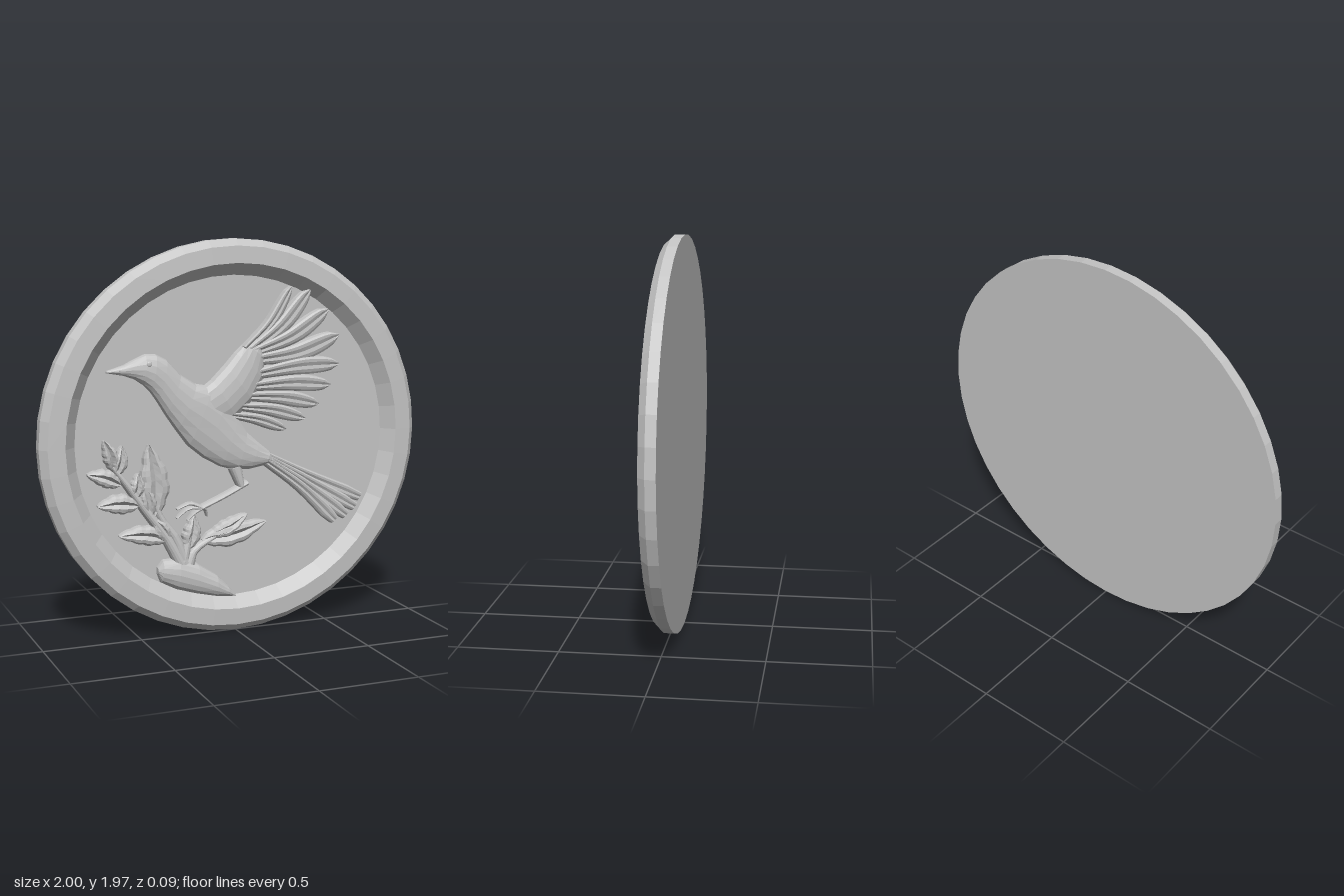
import * as THREE from 'three';

const FLOOR = -0.02;
const metal = new THREE.MeshStandardMaterial({ color: 0xc4c4c4, flatShading: true });
metal.name = 'plain grey';

// Height across a relief strip, from its left edge to its right edge
const DOME = [0, 0.5, 0.78, 0.94, 1, 0.94, 0.78, 0.5, 0];
const LEAF = [0, 0.6, 0.85, 0.95, 0.62, 1, 0.9, 0.65, 0];
const FEATHER = [0, 0.85, 1, 0.97, 0.8, 0.86, 0.74, 0.6, 0];

// Raised strip lofted through stations [leftX, leftY, rightX, rightY, height]
function relief(name, stations, profile = DOME) {
  const first = stations[0], last = stations[stations.length - 1];
  const rows = [[...first.slice(0, 4), 0], ...stations, [...last.slice(0, 4), 0]];
  const pos = [], idx = [], n = profile.length;
  rows.forEach(([ax, ay, bx, by, h], i) => {
    profile.forEach((p, j) => {
      // edge columns are spaced more tightly so the sides stay steep
      const t = 0.5 - 0.5 * Math.cos((Math.PI * j) / (n - 1));
      pos.push(ax + (bx - ax) * t, ay + (by - ay) * t, FLOOR - 0.002 + h * p);
      if (i && j) {
        const d = i * n + j, c = d - 1, b = d - n, a = b - 1;
        idx.push(a, b, c, b, d, c);
      }
    });
  });
  const g = new THREE.BufferGeometry();
  g.setAttribute('position', new THREE.Float32BufferAttribute(pos, 3));
  g.setIndex(idx);
  g.computeVertexNormals();
  const mesh = new THREE.Mesh(g, metal);
  mesh.name = name;
  return mesh;
}

// Strip that follows a smooth path; shape(t) gives [half width, height]
function stroke(name, path, shape, profile = DOME, steps = 8) {
  const curve = new THREE.CatmullRomCurve3(path.map(([x, y]) => new THREE.Vector3(x, y, 0)));
  const stations = [];
  for (let i = 0; i <= steps; i++) {
    const t = i / steps, p = curve.getPoint(t), d = curve.getTangent(t), [w, h] = shape(t);
    stations.push([p.x - d.y * w, p.y + d.x * w, p.x + d.y * w, p.y - d.x * w, h]);
  }
  return relief(name, stations, profile);
}

function group(name, ...parts) {
  const g = new THREE.Group();
  g.name = name;
  g.add(...parts);
  return g;
}

function makeDisc() {
  const profile = [[0, -0.05], [1, -0.05], [1, 0], [0.965, 0.036], [0.88, 0.042], [0.82, FLOOR], [0, FLOOR]];
  const g = new THREE.LatheGeometry(profile.map(([r, y]) => new THREE.Vector2(r, y)), 44);
  g.rotateX(Math.PI / 2);
  g.scale(1, 0.985, 1);
  g.translate(0, 0.985, 0);
  const mesh = new THREE.Mesh(g, metal);
  mesh.name = 'rimmedDisc';
  return mesh;
}

function makeBird() {
  // Beak, head, breast and rump in one sweep
  const body = relief('body', [
    [-0.66, 1.345, -0.66, 1.335, 0.02], [-0.575, 1.37, -0.57, 1.318, 0.035],
    [-0.525, 1.395, -0.52, 1.3, 0.045], [-0.465, 1.42, -0.475, 1.27, 0.056],
    [-0.41, 1.418, -0.44, 1.235, 0.06], [-0.355, 1.39, -0.405, 1.185, 0.06],
    [-0.285, 1.315, -0.365, 1.12, 0.062], [-0.205, 1.265, -0.31, 1.04, 0.065],
    [-0.125, 1.25, -0.25, 0.96, 0.066], [-0.05, 1.2, -0.17, 0.895, 0.066],
    [0.01, 1.1, -0.08, 0.845, 0.066], [0.06, 1.02, 0, 0.82, 0.065],
    [0.12, 0.965, 0.07, 0.82, 0.062], [0.185, 0.91, 0.15, 0.835, 0.055],
    [0.2, 0.88, 0.2, 0.85, 0.045],
  ]);
  const eye = new THREE.Mesh(new THREE.SphereGeometry(0.014, 10, 6), metal);
  eye.scale.z = 0.5;
  eye.position.set(-0.455, 1.375, 0.03);
  eye.name = 'eye';

  // Shoulder of the raised wing
  const shoulder = relief('wingShoulder', [
    [-0.22, 1.21, -0.12, 1.02, 0.055], [-0.125, 1.28, 0, 1.08, 0.066],
    [-0.055, 1.35, 0.09, 1.16, 0.066], [0, 1.41, 0.15, 1.27, 0.06],
    [0.05, 1.455, 0.16, 1.37, 0.055], [0.1, 1.46, 0.14, 1.43, 0.045],
  ]);

  // Fan of flight feathers: base, tip, half width
  const quills = [
    [0.05, 1.43, 0.3, 1.73, 0.032], [0.08, 1.42, 0.4, 1.71, 0.045], [0.1, 1.41, 0.5, 1.61, 0.048],
    [0.11, 1.37, 0.56, 1.48, 0.052], [0.11, 1.3, 0.56, 1.335, 0.048], [0.1, 1.24, 0.515, 1.23, 0.045],
    [0.07, 1.19, 0.45, 1.135, 0.042], [0.03, 1.14, 0.375, 1.065, 0.038], [-0.02, 1.1, 0.27, 1.015, 0.032],
  ];
  const feathers = quills.map(([x, y, tx, ty, w], i) => {
    const bow = i < 4 ? -0.025 : 0.012;
    const mid = [(x + tx) / 2 - (ty - y) * bow * 2, (y + ty) / 2 + bow];
    const shape = (t) => [
      w * (0.55 + 0.45 * Math.min(1, t * 1.6)) * Math.sqrt(Math.max(0.03, 1 - Math.pow(t, 7))),
      0.052 - 0.012 * t,
    ];
    return stroke('flightFeather', [[x, y], mid, [tx, ty]], shape, FEATHER, 12);
  });

  // Long tail feathers spreading from the rump
  const tail = [[0.55, 0.525], [0.615, 0.545], [0.665, 0.585], [0.695, 0.635]].map(([tx, ty], i) =>
    stroke('tailFeather',
      [[0.15, 0.865 + i * 0.01], [0.36 + i * 0.008, 0.71 + i * 0.022], [tx, ty]],
      (t) => [(0.02 + 0.016 * t) * (t > 0.97 ? 0.7 : 1), 0.052 - i * 0.003 - 0.008 * t], FEATHER));

  // Thigh, shank and toes
  const leg = group('leg',
    stroke('thigh', [[0, 0.84], [0.015, 0.79], [0.03, 0.74]], (t) => [0.036 - 0.016 * t, 0.05], DOME, 4),
    stroke('shank', [[0.065, 0.755], [-0.05, 0.7], [-0.18, 0.645]], () => [0.014, 0.045]),
    ...[[[-0.24, 0.67], [-0.31, 0.645]], [[-0.25, 0.645], [-0.31, 0.6]],
      [[-0.22, 0.62], [-0.255, 0.585]], [[-0.16, 0.635], [-0.15, 0.6]]].map((toe) =>
      stroke('toe', [[-0.18, 0.645], ...toe], (t) => [0.013 - 0.008 * t, 0.045 - 0.015 * t], DOME, 5)));

  return group('bird', body, eye, group('wing', ...feathers, shoulder), group('tail', ...tail), leg);
}

function makeBranch() {
  const log = relief('cutBranch', [
    [-0.412, 0.36, -0.412, 0.325, 0.035], [-0.385, 0.395, -0.395, 0.28, 0.055],
    [-0.3, 0.4, -0.31, 0.235, 0.064], [-0.2, 0.36, -0.21, 0.205, 0.064],
    [-0.1, 0.295, -0.11, 0.183, 0.06], [-0.04, 0.235, -0.045, 0.175, 0.05], [0, 0.185, 0, 0.175, 0.035],
  ]);

  const stems = [
    [[-0.29, 0.37], [-0.36, 0.5], [-0.47, 0.65], [-0.57, 0.79], [-0.64, 0.88]],
    [[-0.27, 0.37], [-0.32, 0.5], [-0.39, 0.6], [-0.43, 0.7]],
    [[-0.25, 0.37], [-0.22, 0.43], [-0.1, 0.5]],
    [[-0.28, 0.38], [-0.26, 0.46], [-0.24, 0.54]],
  ].map((path) => stroke('stem', path, (t) => [0.034 - 0.02 * t, 0.052 - 0.012 * t]));

  // Leaves: base, tip, half width
  const leaves = [
    [-0.63, 0.86, -0.68, 1.01, 0.036], [-0.62, 0.84, -0.59, 0.98, 0.036], [-0.6, 0.79, -0.765, 0.85, 0.042],
    [-0.51, 0.68, -0.715, 0.69, 0.048], [-0.53, 0.72, -0.51, 0.84, 0.036], [-0.43, 0.62, -0.455, 0.98, 0.075],
    [-0.45, 0.62, -0.49, 0.79, 0.04], [-0.36, 0.5, -0.61, 0.535, 0.048], [-0.36, 0.49, -0.44, 0.61, 0.042],
    [-0.26, 0.44, -0.22, 0.61, 0.045], [-0.18, 0.48, 0.165, 0.55, 0.056], [-0.13, 0.5, 0.06, 0.595, 0.04],
  ].map(([x, y, tx, ty, w]) => {
    const mid = [(x + tx) / 2 + (ty - y) * 0.05, (y + ty) / 2 - (tx - x) * 0.05];
    // alternating widths give the margin its toothed look
    const shape = (t) => [
      0.004 + w * Math.pow(Math.sin(Math.PI * Math.pow(t, 0.8)), 0.8) * (Math.round(t * 12) % 3 ? 1 : 0.86),
      0.035 + 0.02 * Math.sin(Math.PI * t),
    ];
    return stroke('leaf', [[x, y], mid, [tx, ty]], shape, LEAF, 12);
  });
  return group('branch', ...stems, ...leaves, log);
}

export function createModel() {
  return group('birdMedallion', makeDisc(), makeBird(), makeBranch());
}
